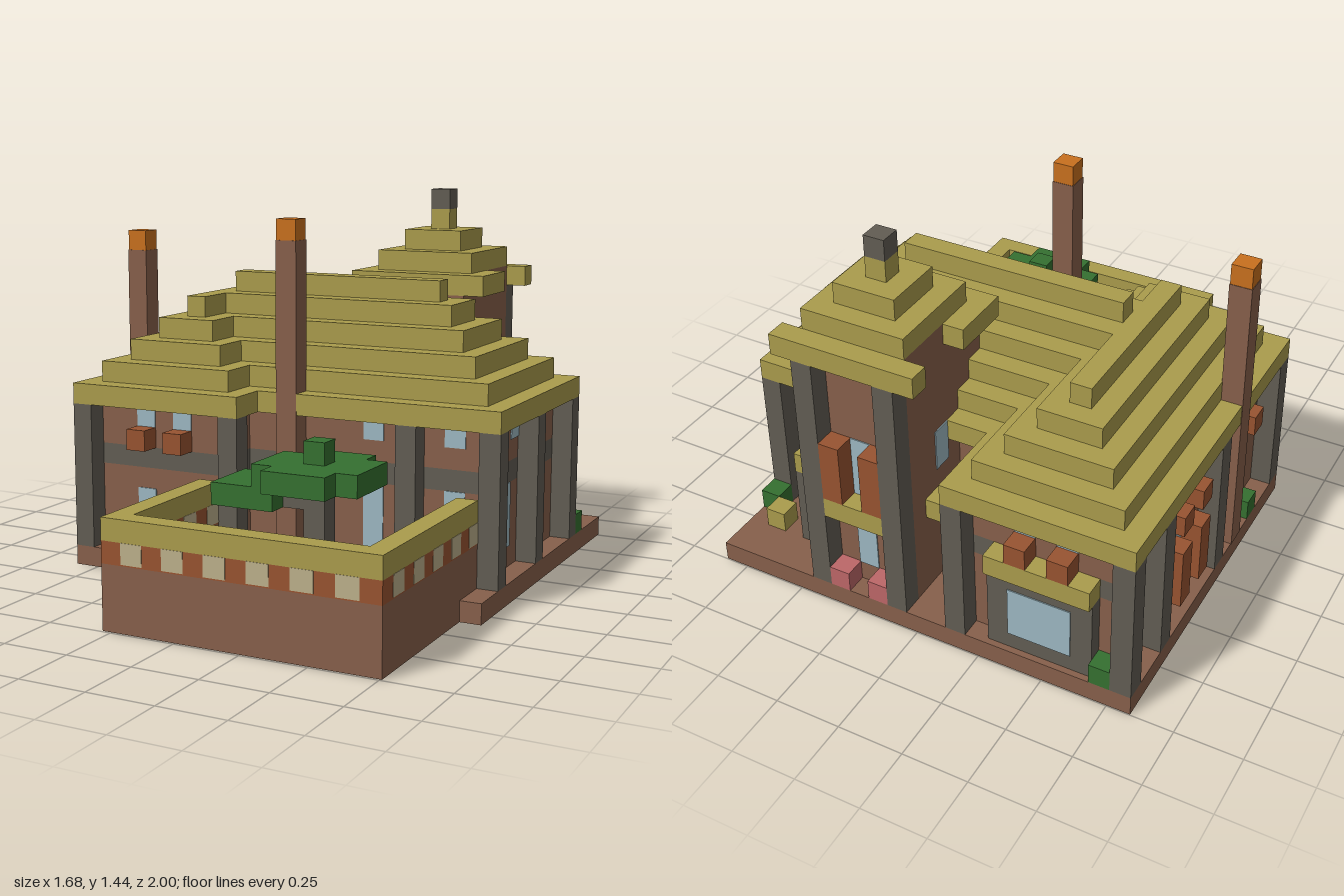
import * as THREE from 'three';

const U = 0.08; // one building block
const palette = {
  thatch: 0xaa9c4c, clay: 0x87604b, stone: 0x625d53, rust: 0x985431, orange: 0xc8701e,
  cream: 0xbdb08b, pink: 0xbd6768, glass: 0x9db8c2, leaf: 0x357030, grass: 0x629343,
};
const mats = {};
for (const [name, color] of Object.entries(palette)) {
  mats[name] = new THREE.MeshStandardMaterial({ color });
  mats[name].name = name;
}

export function createModel() {
  const model = new THREE.Group();
  model.name = 'cottage';

  // Box spanning block indices x0..x1, y0..y1, z0..z1, optionally swollen by g
  function block(name, mat, x0, x1, y0, y1, z0, z1, g = 0) {
    const geo = new THREE.BoxGeometry((x1 - x0) * U + 2 * g, (y1 - y0) * U + 2 * g, (z1 - z0) * U + 2 * g);
    const mesh = new THREE.Mesh(geo, mats[mat]);
    mesh.name = name;
    mesh.position.set((x0 + x1) / 2 * U - 0.84, (y0 + y1) / 2 * U, (z0 + z1) / 2 * U - 1);
    model.add(mesh);
  }
  const cell = (name, mat, x, y, z, h = 1) => block(name, mat, x, x + 1, y, y + h, z, z + 1);
  const T = 0.05; // plate half thickness, in blocks
  const paneZ = (x0, x1, y0, y1, z) => block('window', 'glass', x0, x1, y0, y1, z - T, z + T);
  const paneX = (x, y0, y1, z0, z1) => block('window', 'glass', x - T, x + T, y0, y1, z0, z1);

  // Base slab and coloured floors
  block('baseSlab', 'clay', 0, 21, 0.04, 1, 0, 17);
  block('yardSlab', 'clay', 7, 20, 0.04, 1, 17, 25);
  block('wingFloor', 'rust', 2, 7, 0, 0.9, 2, 15);
  for (let z = 2; z < 14; z++) {
    for (let x = 8; x < 18; x++) {
      const inTower = z < 6 && x > 10 && x < 16;
      if ((x + z) % 2 === 0 && (z > 5 || inTower)) block('cobble', 'cream', x, x + 1, 0, 0.9, z, z + 1, -0.003);
    }
  }

  // Storey walls with a stone belt
  function house(name, x0, x1, z0, z1) {
    block(name + 'LowerWall', 'clay', x0, x1, 1, 5, z0, z1);
    block(name + 'Belt', 'stone', x0, x1, 5, 6, z0, z1);
    block(name + 'UpperWall', 'clay', x0, x1, 6, 8, z0, z1);
  }
  house('wing', 1, 8, 1, 16);
  house('hall', 8, 20, 5, 14);

  // Stepped thatch roofs
  for (let n = 0; n < 6; n++) block('hallRoof', 'thatch', n, 21 - n, 8 + n, 9 + n, 4 + n, 15 - n);
  for (let n = 0; n < 5; n++) block('wingRoof', 'thatch', n, 9 - n, 8 + n, 9 + n, n, 17 - n);

  // Stone pillars
  for (const [x, z] of [[0, 0], [8, 0], [0, 16], [8, 16], [0, 3], [0, 9], [20, 14], [20, 9], [20, 4], [16, 14]]) {
    cell('pillar', 'stone', x, 1, z, 7);
  }

  // Tower with stepped cap
  block('towerBody', 'clay', 11, 16, 1, 13, 1, 7);
  block('towerNeck', 'clay', 11, 16, 13, 14, 1, 4);
  block('towerFrontEave', 'thatch', 10, 17, 13, 14, 4, 7);
  block('towerBackEave', 'thatch', 10, 17, 13, 14, 0, 1);
  block('towerRoof', 'thatch', 11, 16, 14, 15, 1, 6);
  block('towerRoof', 'thatch', 12, 15, 15, 16, 2, 5);
  cell('towerSpire', 'thatch', 13, 16, 3);
  cell('spireCap', 'stone', 13, 17, 3);
  for (const x of [11, 15]) cell('towerPillar', 'stone', x, 1, 0, 12);
  for (const x of [12, 14]) {
    cell('towerShutter', 'rust', x, 6, 0, 3);
    cell('flower', 'pink', x, 1, 0);
  }
  paneZ(13, 14, 6, 9, 1);
  paneZ(13, 14, 2, 5, 1);
  block('towerBackAwning', 'thatch', 12, 15, 5, 6, 0, 1);
  // Side awnings on posts
  for (const [x0, post, face] of [[9, 9, 11], [16, 17, 16]]) {
    block('sideAwning', 'thatch', x0, x0 + 2, 5, 6, 2, 4);
    cell('awningPost', 'stone', post, 1, 2, 4);
    paneX(face, 7, 9, 3, 4);
  }
  cell('hayBale', 'thatch', 19, 1, 2);
  cell('bush', 'leaf', 20, 1, 3);

  // Chimneys
  block('frontChimney', 'clay', 10, 11, 1, 16, 14, 15, 0.002);
  block('frontChimneyPot', 'orange', 10, 11, 16, 17, 14, 15);
  block('sideChimney', 'clay', 0, 1, 1, 15, 11, 12, 0.002);
  block('sideChimneyPot', 'orange', 0, 1, 15, 16, 11, 12);

  // Wing front and back windows with planters
  for (const x of [3, 5]) {
    paneZ(x, x + 1, 7, 8, 16);
    cell('windowBox', 'rust', x, 6, 16);
    paneZ(x, x + 1, 2, 4, 16);
    cell('planter', 'rust', x, 1, 16);
    cell('flower', 'pink', x, 2, 16);
    paneZ(x, x + 1, 7, 8, 1);
    cell('windowBox', 'rust', x, 6, 0);
  }
  // Back bay
  block('bayFrame', 'stone', 2, 7, 1, 5, 0.3, 1);
  paneZ(3, 6, 1.8, 4.3, 0.3);
  block('bayAwning', 'thatch', 2, 7, 5, 6, 0, 1);
  cell('bush', 'leaf', 1, 1, 0);

  // Wing outer side: shuttered window and boxes
  paneX(1, 2, 5, 6, 7);
  for (const z of [5, 7]) {
    cell('shutter', 'rust', 0, 2, z, 3);
    cell('windowBox', 'rust', 0, 6, z);
    paneX(1, 7, 8, z, z + 1);
  }
  cell('windowBox', 'rust', 0, 6, 13);
  paneX(1, 7, 8, 13, 14);
  paneX(1, 2, 5, 13, 14);
  cell('bush', 'leaf', 0, 1, 13);

  // Hall windows
  for (const z of [8, 10]) paneX(20, 7, 8, z, z + 1);
  for (const z of [7, 11]) paneX(20, 2, 5, z, z + 1);
  for (const x of [14, 18]) {
    paneZ(x, x + 1, 7, 8, 14);
    paneZ(x, x + 1, 2, 5, 14);
  }
  paneZ(18, 19, 2, 5, 5);
  paneZ(18, 19, 7, 8, 5);

  // Yard wall: clay, chequered frieze, thatch coping
  for (const [x0, x1, z0, z1] of [[7, 8, 17, 24], [19, 20, 15, 24], [7, 20, 24, 25]]) {
    block('yardWall', 'clay', x0, x1, 0.04, 3, z0, z1);
    block('yardFrieze', 'rust', x0, x1, 3, 4, z0, z1);
    block('yardCoping', 'thatch', x0, x1, 4, 5, z0, z1);
  }
  for (let x = 8; x < 19; x += 2) block('friezeTile', 'cream', x, x + 1, 3.08, 3.98, 24, 25, 0.0015);
  for (let z = 15; z < 24; z += 2) {
    block('friezeTile', 'cream', 19, 20, 3.08, 3.98, z, z + 1, 0.0015);
    if (z > 16) block('friezeTile', 'cream', 7, 8, 3.08, 3.98, z, z + 1, 0.0015);
  }

  // Lawns, flowers, hay and bench
  for (const x of [8, 14]) {
    block('lawn', 'grass', x, x + 5, 0, 1.04, 16, 19);
    block('lawn', 'grass', x, x + 5, 0, 1.04, 20, 23);
  }
  block('lawn', 'grass', 8, 11, 0, 1.04, 23, 24);
  block('lawn', 'grass', 16, 19, 0, 1.04, 23, 24);
  for (const [x, z] of [[10, 16], [9, 17], [11, 17], [16, 16], [18, 16], [17, 17], [9, 21], [11, 21], [10, 22], [8, 22]]) {
    cell('flower', 'pink', x, 1, z);
  }
  for (const [x, z] of [[8, 23], [17, 21], [16, 22], [18, 23]]) cell('hayTuft', 'thatch', x, 1, z);
  block('bench', 'rust', 12, 15, 1, 2, 23, 24);

  // Yard tree
  cell('treeTrunk', 'stone', 14, 1, 19, 5);
  block('treeBranch', 'stone', 12, 14, 5, 6, 19, 20);
  block('treeLowerLeaves', 'leaf', 10, 13, 5, 6, 18, 21);
  block('treeCanopy', 'leaf', 12, 17, 6, 7, 18, 21);
  block('treeCanopy', 'leaf', 13, 16, 6, 7, 17, 22);
  cell('treeTop', 'leaf', 14, 7, 19);

  return model;
}
